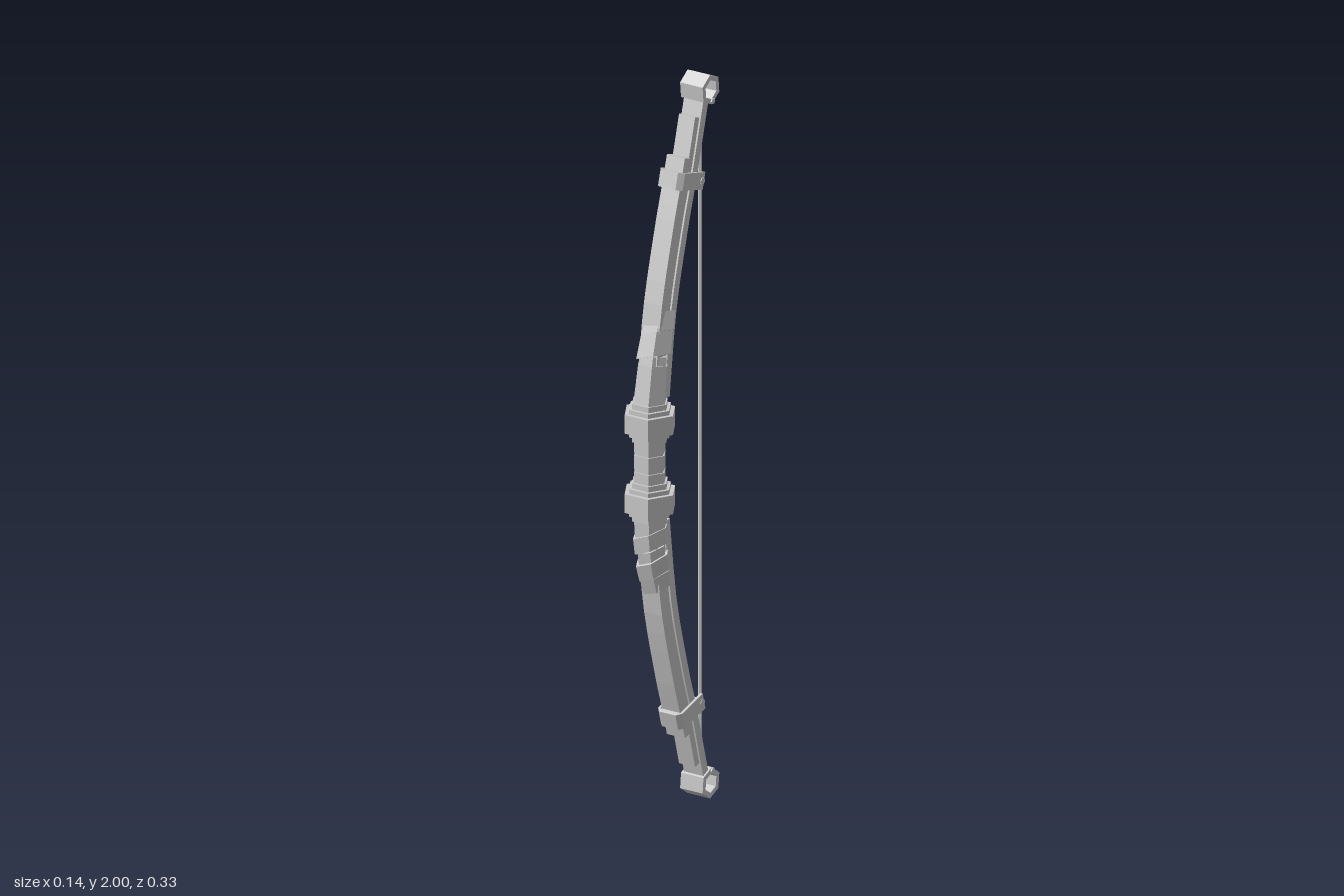
import * as THREE from 'three';

const mat = new THREE.MeshStandardMaterial({ color: 0xcccccc, flatShading: true });

function add(parent, name, geo, x = 0, y = 0, z = 0, tilt = 0) {
  const m = new THREE.Mesh(geo, mat);
  m.name = name;
  m.position.set(x, y, z);
  m.rotation.x = tilt;
  parent.add(m);
  return m;
}

// Outline drawn in (z, y), given a thickness along x
function sideExtrude(shape, width) {
  const g = new THREE.ExtrudeGeometry(shape, { depth: width, bevelEnabled: false });
  return g.translate(0, 0, -width / 2).rotateY(-Math.PI / 2);
}

// Six-sided collar with points at +x and -x; slant raises one side
function hex(rTop, rBottom, h, slant = 0) {
  const g = new THREE.CylinderGeometry(rTop, rBottom, h, 6).rotateY(Math.PI / 6);
  const p = g.attributes.position;
  for (let i = 0; i < p.count; i++) p.setY(i, p.getY(i) + slant * p.getX(i));
  return g;
}

// Centre line of the rear leaf of the upper limb, in (z, y)
const spine = new THREE.SplineCurve([
  [0.068, 1.17], [0.037, 1.4], [-0.014, 1.6], [-0.057, 1.74], [-0.109, 1.93],
].map(([z, y]) => new THREE.Vector2(z, y)));

// One curved spring leaf, from the grip to part t1 of the spine
function leaf(t1, offset, thick, width) {
  const front = [], back = [], n = 12;
  for (let i = 0; i <= n; i++) {
    const t = (t1 * i) / n, p = spine.getPoint(t), d = spine.getTangent(t);
    const normal = new THREE.Vector2(d.y, -d.x);
    front.push(p.clone().addScaledVector(normal, offset + thick / 2));
    back.push(p.clone().addScaledVector(normal, offset - thick / 2));
  }
  return sideExtrude(new THREE.Shape([...back, ...front.reverse()]), width);
}

function makeLimb(name) {
  const limb = new THREE.Group();
  limb.name = name;
  add(limb, 'rearLeaf', leaf(1, 0, 0.024, 0.06));
  add(limb, 'middleLeaf', leaf(0.93, 0.022, 0.02, 0.05));
  add(limb, 'frontLeaf', leaf(0.81, 0.044, 0.024, 0.056));

  // Hexagonal eye at the tip
  const ring = (r) => Array.from({ length: 6 }, (_, i) => {
    const a = (i / 6) * Math.PI * 2 + Math.PI / 2 - 0.1;
    return new THREE.Vector2(r * Math.cos(a), r * Math.sin(a));
  });
  const eye = new THREE.Shape(ring(0.042));
  eye.holes.push(new THREE.Path(ring(0.027)));
  add(limb, 'tipEye', sideExtrude(eye, 0.07), 0, 1.958, -0.125);
  const pin = new THREE.CylinderGeometry(0.008, 0.008, 0.078, 6).rotateZ(Math.PI / 2);
  add(limb, 'stringPin', pin, 0, 1.925, -0.131);

  // U-shaped clamp, chamfered at the front, closed by a bolt at the back
  const u = new THREE.Shape([
    [-0.038, -0.054], [-0.031, -0.054], [-0.031, 0.042], [0.031, 0.042], [0.031, -0.054],
    [0.038, -0.054], [0.038, 0.042], [0.025, 0.056], [-0.025, 0.056], [-0.038, 0.042],
  ].map(([x, z]) => new THREE.Vector2(x, -z)));
  const band = new THREE.ExtrudeGeometry(u, { depth: 0.046, bevelEnabled: false });
  band.translate(0, 0, -0.023).rotateX(-Math.PI / 2);
  const clamp = new THREE.Group();
  clamp.name = 'clamp';
  clamp.position.set(0, 1.733, -0.037);
  clamp.rotation.x = -0.27;
  add(clamp, 'clampBand', band);
  add(clamp, 'clampBolt', new THREE.CylinderGeometry(0.01, 0.01, 0.08, 6).rotateZ(Math.PI / 2), 0, 0, -0.046);
  limb.add(clamp);
  return limb;
}

export function createModel() {
  const bow = new THREE.Group();
  bow.name = 'bow';

  // Limbs: the lower one is the upper one turned over
  bow.add(makeLimb('upperLimb'));
  const lower = makeLimb('lowerLimb');
  lower.rotation.z = Math.PI;
  lower.position.y = 2;
  bow.add(lower);

  // Grip core and its bands
  const gz = 0.103;
  add(bow, 'gripCore', hex(0.041, 0.041, 0.24), 0, 1, gz);
  for (const y of [0.955, 1.002, 1.049]) add(bow, 'gripBand', hex(0.045, 0.045, 0.04), 0, y, gz);

  // Heavy nuts with flanges above and below the grip
  for (const y of [0.893, 1.112]) {
    add(bow, 'gripNut', hex(0.072, 0.072, 0.052), 0, y, gz);
    add(bow, 'gripFlange', hex(0.06, 0.06, 0.076), 0, y, gz);
    add(bow, 'gripCollar', hex(0.051, 0.051, 0.106), 0, y, gz);
  }

  // Upper wraps: [y, z, height, top radius, bottom radius, tilt, slant]
  const upperWraps = [
    [1.212, 0.096, 0.105, 0.043, 0.047, -0.15, 0],
    [1.272, 0.087, 0.03, 0.038, 0.04, -0.2, 0],
    [1.312, 0.077, 0.064, 0.046, 0.05, -0.25, 0.35],
    [1.366, 0.06, 0.052, 0.042, 0.046, -0.28, 0.4],
  ];
  for (const [y, z, h, a, b, tilt, slant] of upperWraps)
    add(bow, 'upperWrap', hex(a, b, h, slant), 0, y, z, tilt);

  // Lower wraps, slanting round the limb root
  const lowerWraps = [
    [0.825, 0.101, 0.05, 0.046, 0.045, 0.05, 0.2],
    [0.782, 0.099, 0.046, 0.05, 0.048, 0.12, 0.4],
    [0.74, 0.093, 0.036, 0.04, 0.04, 0.18, 0.3],
    [0.706, 0.086, 0.048, 0.049, 0.046, 0.25, 0.4],
    [0.663, 0.073, 0.046, 0.045, 0.042, 0.28, 0.3],
  ];
  for (const [y, z, h, a, b, tilt, slant] of lowerWraps)
    add(bow, 'lowerWrap', hex(a, b, h, slant), 0, y, z, tilt);

  // String between the two tips
  add(bow, 'string', new THREE.CylinderGeometry(0.005, 0.005, 1.86, 6), 0, 1, -0.126);
  return bow;
}
